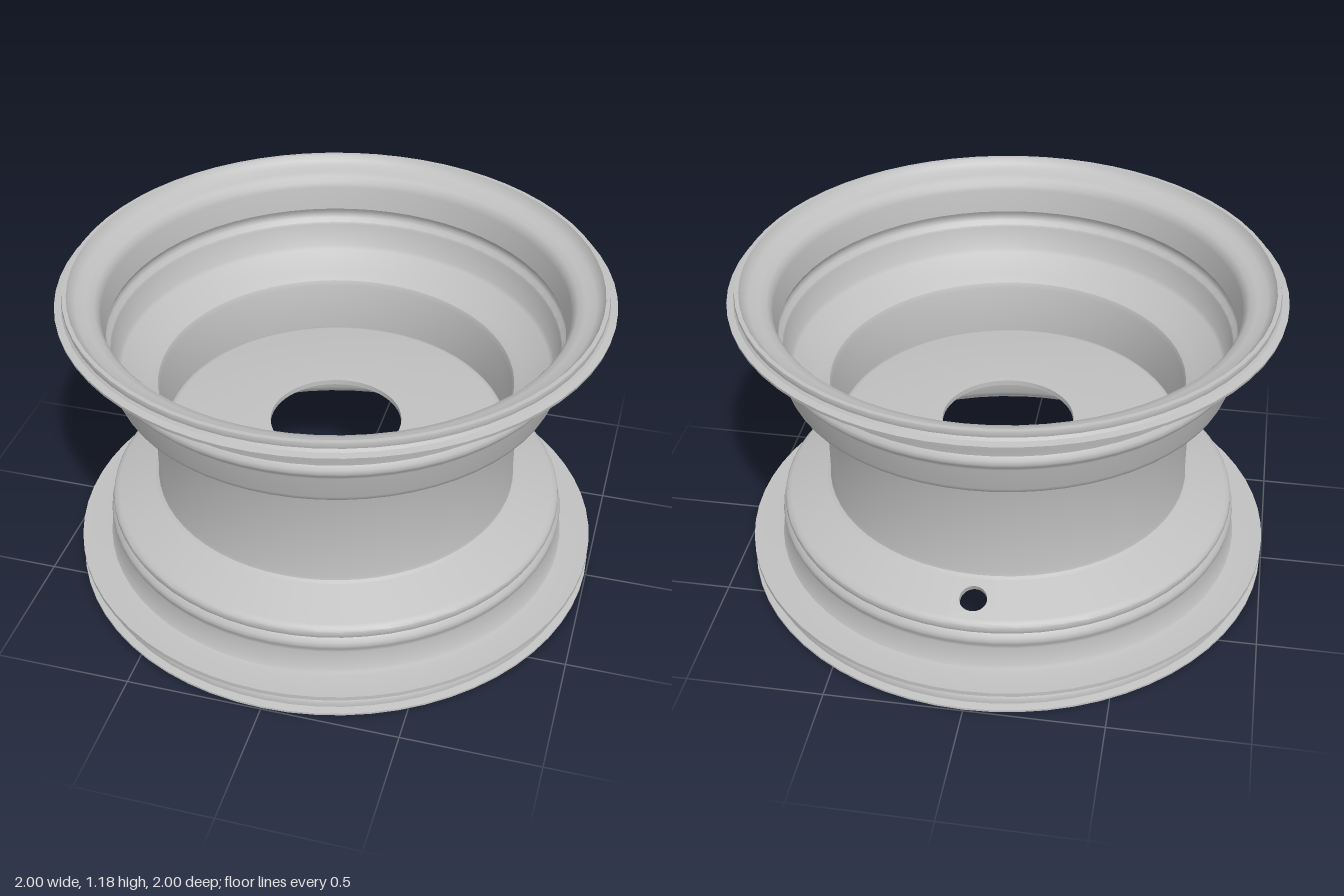
import * as THREE from 'three';
import { toCreasedNormals } from 'three/addons/utils/BufferGeometryUtils.js';

const SEG = 64;
const STEP = (Math.PI * 2) / SEG;

const metal = new THREE.MeshStandardMaterial({ color: 0xc0c0c0 });
metal.name = 'bare metal';

// Revolve [radius, height] points around the wheel axis
function revolve(name, points, start = 0, segments = SEG) {
  const profile = points.map(([r, y]) => new THREE.Vector2(r, y));
  const lathe = new THREE.LatheGeometry(profile, segments, start, segments * STEP);
  const mesh = new THREE.Mesh(toCreasedNormals(lathe, 0.6), metal);
  mesh.name = name;
  return mesh;
}

// Lower cone between bead seat and barrel: bottom and top of each skin
const coneOuter = [[0.84, 0.285], [0.695, 0.345]];
const coneInner = [[0.83, 0.262], [0.685, 0.322]];

// Small piece of the cone with the round valve hole, bent onto the cone
function valvePatch() {
  const shape = new THREE.Shape();
  shape.moveTo(-STEP, 0);
  shape.lineTo(0, 0);
  shape.lineTo(STEP, 0);
  shape.lineTo(STEP, 1);
  shape.lineTo(0, 1);
  shape.lineTo(-STEP, 1);
  shape.closePath();
  const hole = new THREE.Path();
  hole.absellipse(0, 0.5, 0.064, 0.31, 0, Math.PI * 2, true);
  shape.holes.push(hole);
  const geo = new THREE.ExtrudeGeometry(shape, { depth: 1, bevelEnabled: false, curveSegments: 20 });
  const p = geo.attributes.position;
  const mix = THREE.MathUtils.lerp;
  for (let i = 0; i < p.count; i++) {
    const phi = Math.PI + p.getX(i), t = p.getY(i), w = p.getZ(i);
    const [r, y] = [0, 1].map((k) =>
      mix(mix(coneInner[0][k], coneInner[1][k], t), mix(coneOuter[0][k], coneOuter[1][k], t), w));
    p.setXYZ(i, r * Math.sin(phi), y, r * Math.cos(phi));
  }
  geo.computeVertexNormals();
  const mesh = new THREE.Mesh(toCreasedNormals(geo, 0.6), metal);
  mesh.name = 'valveHolePatch';
  return mesh;
}

export function createModel() {
  const wheel = new THREE.Group();
  wheel.name = 'wheelRim';

  // Lower bead seat and flange: down the inside, round the lip, up the outside
  wheel.add(revolve('lowerFlange', [
    coneInner[0], [0.838, 0.252], [0.83, 0.238], [0.842, 0.222], [0.846, 0.21], [0.842, 0.196],
    [0.832, 0.18], [0.836, 0.15], [0.85, 0.1], [0.858, 0.082], [0.875, 0.068], [0.9, 0.062],
    [0.925, 0.055], [0.942, 0.04], [0.95, 0.02], [0.957, 0.006], [0.965, 0],
    [0.995, 0], [0.995, 0.008], [0.968, 0.014], [0.968, 0.032], [0.96, 0.048], [0.94, 0.062],
    [0.93, 0.072], [0.995, 0.074], [0.995, 0.09], [0.9, 0.09], [0.882, 0.094], [0.874, 0.108],
    [0.86, 0.175], [0.861, 0.187], [0.87, 0.2], [0.872, 0.212], [0.869, 0.226], [0.856, 0.24],
    [0.862, 0.255], [0.86, 0.27], [0.852, 0.279], coneOuter[0],
  ]));

  // Lower cone, open at the back for the valve
  const start = Math.PI + STEP;
  wheel.add(revolve('lowerConeOutside', coneOuter, start, SEG - 2));
  wheel.add(revolve('lowerConeInside', [coneInner[1], coneInner[0]], start, SEG - 2));
  wheel.add(valvePatch());

  // Barrel, upper bead seat and flange: up the outside, over the lip, down the inside
  wheel.add(revolve('barrelAndUpperFlange', [
    coneOuter[1], [0.683, 0.352], [0.68, 0.365], [0.68, 0.74], [0.684, 0.75], [0.7, 0.762],
    [0.8, 0.815], [0.817, 0.828], [0.824, 0.845], [0.842, 0.935], [0.845, 0.945], [0.86, 0.958],
    [0.866, 0.972], [0.864, 0.986], [0.854, 1.0], [0.866, 1.09], [0.872, 1.102], [0.89, 1.107],
    [0.93, 1.11], [0.962, 1.117], [0.975, 1.128], [0.998, 1.13], [1.0, 1.142], [0.975, 1.146],
    [0.968, 1.156], [0.972, 1.17], [0.97, 1.18], [0.955, 1.18],
    [0.945, 1.16], [0.925, 1.145], [0.89, 1.137], [0.862, 1.128], [0.847, 1.11], [0.842, 1.09],
    [0.83, 1.0], [0.838, 0.986], [0.841, 0.972], [0.836, 0.958], [0.82, 0.945],
    [0.817, 0.935], [0.8, 0.85], [0.788, 0.836], [0.69, 0.785], [0.66, 0.765], [0.652, 0.745],
    [0.652, 0.365], [0.658, 0.342], [0.669, 0.329], coneInner[1],
  ]));

  // Cup-shaped centre disc with the hub hole
  wheel.add(revolve('centreDisc', [
    [0.248, 0.54], [0.605, 0.54], [0.622, 0.534], [0.63, 0.518], [0.63, 0.38], [0.652, 0.38],
    [0.651, 0.525], [0.646, 0.545], [0.636, 0.556], [0.62, 0.56], [0.248, 0.56], [0.248, 0.54],
  ]));

  return wheel;
}
